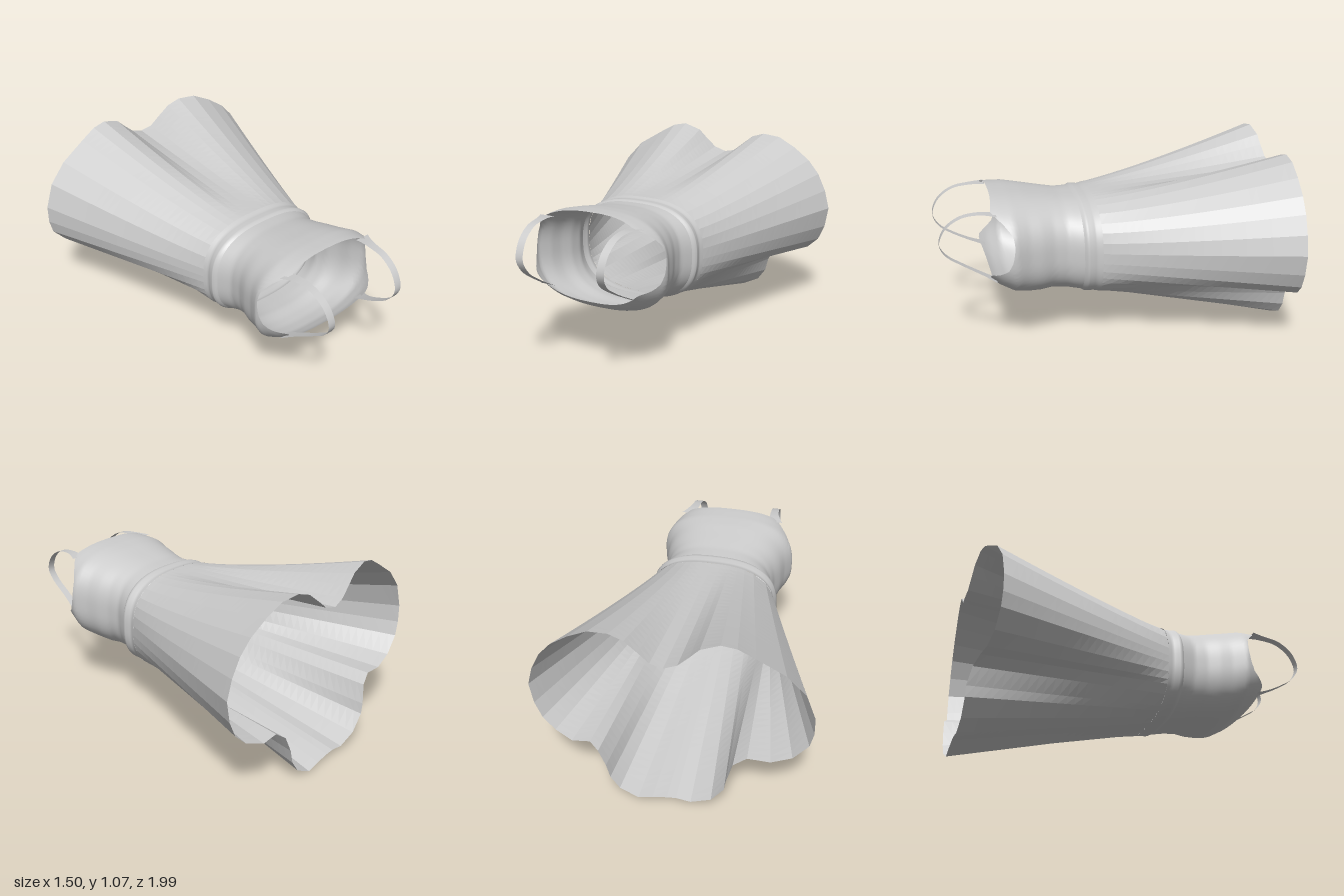
import * as THREE from 'three';

const cloth = new THREE.MeshStandardMaterial({ color: 0xcccccc, side: THREE.DoubleSide });
const pleated = new THREE.MeshStandardMaterial({ color: 0xcccccc, side: THREE.DoubleSide, flatShading: true });
const lerp = THREE.MathUtils.lerp;

// Hem outline (x, y), clockwise from the top middle
const HEM = [
  [0, 0.9], [0.07, 0.915], [0.13, 0.965], [0.2, 1.02], [0.28, 1.045], [0.39, 1.035], [0.5, 0.98],
  [0.6, 0.91], [0.67, 0.83], [0.72, 0.73], [0.75, 0.62], [0.73, 0.5], [0.69, 0.41], [0.62, 0.345],
  [0.52, 0.315], [0.42, 0.325], [0.37, 0.29], [0.33, 0.2], [0.31, 0.12], [0.26, 0.05], [0.16, 0],
  [0.08, 0.02], [0, 0.035], [-0.05, 0.04], [-0.13, 0.03], [-0.24, 0.07], [-0.31, 0.16], [-0.32, 0.22],
  [-0.35, 0.32], [-0.42, 0.36], [-0.54, 0.35], [-0.65, 0.39], [-0.73, 0.48], [-0.75, 0.56],
  [-0.75, 0.66], [-0.7, 0.8], [-0.6, 0.91], [-0.45, 1], [-0.36, 1.05], [-0.28, 1.065],
  [-0.18, 1.03], [-0.13, 0.98], [-0.07, 0.925],
];

// Body sections: z, half width, bottom y, top y
const BODY = [
  [0.12, 0.375, 0.262, 0.835], [0.15, 0.365, 0.268, 0.828], [0.17, 0.37, 0.27, 0.83], [0.2, 0.375, 0.274, 0.832],
  [0.22, 0.355, 0.283, 0.825], [0.3, 0.323, 0.295, 0.83], [0.38, 0.33, 0.305, 0.845],
  [0.45, 0.355, 0.301, 0.857], [0.52, 0.37, 0.305, 0.87], [0.6, 0.405, 0.325, 0.88],
  [0.68, 0.385, 0.37, 0.885], [0.74, 0.36, 0.42, 0.885],
];

// Armhole and neckline: height -> z of the bodice edge
const EDGE = [
  [0.34, 0.7], [0.4, 0.725], [0.44, 0.735], [0.48, 0.7], [0.54, 0.645], [0.6, 0.62],
  [0.68, 0.607], [0.74, 0.612], [0.79, 0.66], [0.83, 0.72], [0.885, 0.7],
];

// Linear lookup in a table sorted by its first column
function lookup(table, key) {
  let i = 0;
  while (i < table.length - 2 && key > table[i + 1][0]) i++;
  const a = table[i], b = table[i + 1];
  const t = THREE.MathUtils.clamp((key - a[0]) / (b[0] - a[0]), 0, 1);
  return a.map((v, k) => lerp(v, b[k], t));
}

// Point on the rounded body section at z, in direction angle
function bodyPoint(angle, z) {
  const [, w, low, high] = lookup(BODY, z);
  const h = (high - low) / 2, n = 2.6;
  const c = Math.cos(angle), s = Math.sin(angle);
  const r = (Math.abs(c / w) ** n + Math.abs(s / h) ** n) ** (-1 / n);
  return [c * r, (low + high) / 2 + s * r, z];
}

// Surface from a grid of points; wrap joins the last column to the first
function surface(rows, cols, wrap, pointAt) {
  const pos = [], index = [];
  for (let i = 0; i <= rows; i++)
    for (let j = 0; j < cols; j++) pos.push(...pointAt(i / rows, j));
  for (let i = 0; i < rows; i++)
    for (let j = 0; j < (wrap ? cols : cols - 1); j++) {
      const a = i * cols + j, b = i * cols + (j + 1) % cols;
      index.push(a, b, a + cols, b, b + cols, a + cols);
    }
  const geo = new THREE.BufferGeometry();
  geo.setAttribute('position', new THREE.Float32BufferAttribute(pos, 3));
  geo.setIndex(index);
  geo.computeVertexNormals();
  return geo;
}

function hemZ(x, y) {
  const side = -0.985 + 0.07 * Math.abs(x) / 0.75;
  return lerp(-0.99, side, THREE.MathUtils.smoothstep(y, 0.27, 0.36));
}

export function createModel() {
  const group = new THREE.Group();
  const add = (name, geo, mat = cloth) => {
    const mesh = new THREE.Mesh(geo, mat);
    mesh.name = name;
    group.add(mesh);
  };

  // Flared skirt, folds running straight from waist to hem
  add('skirt', surface(24, HEM.length, true, (t, j) => {
    const [hx, hy] = HEM[j];
    const [x, y, z] = bodyPoint(Math.atan2(hy - 0.55, hx), 0.12);
    const ty = hy > 0.6 ? t ** 1.25 : t;
    return [lerp(x, hx, t), lerp(y, hy, ty), lerp(z, hemZ(hx, hy), t)];
  }), pleated);

  // Waistband ridge
  const COLS = 96;
  const angleOf = (j) => Math.PI / 2 - (j / COLS) * Math.PI * 2;
  add('waistband', surface(10, COLS, true, (t, j) => bodyPoint(angleOf(j), lerp(0.22, 0.12, t))));

  // Bodice with armholes and necklines cut into its edge
  add('bodice', surface(28, COLS, true, (t, j) => {
    const angle = angleOf(j);
    const edge = lookup(EDGE, bodyPoint(angle, 0.65)[1])[1];
    return bodyPoint(angle, lerp(edge, 0.22, t));
  }));

  // Shoulder straps: flat ribbons looping from back panel to front panel
  const path = new THREE.CatmullRomCurve3([
    [0.275, 0.83, 0.69], [0.255, 0.835, 0.78], [0.25, 0.82, 0.88], [0.245, 0.76, 0.965], [0.24, 0.67, 1],
    [0.232, 0.6, 0.965], [0.234, 0.54, 0.88], [0.25, 0.485, 0.78], [0.275, 0.445, 0.7],
  ].map((p) => new THREE.Vector3(...p)));
  for (const [side, name] of [[1, 'leftStrap'], [-1, 'rightStrap']]) {
    add(name, surface(40, 2, false, (t, j) => {
      const p = path.getPoint(t);
      const half = 0.022 + 0.022 * Math.abs(2 * t - 1) ** 6;
      return [side * p.x + (j ? half : -half), p.y, p.z];
    }));
  }
  return group;
}
